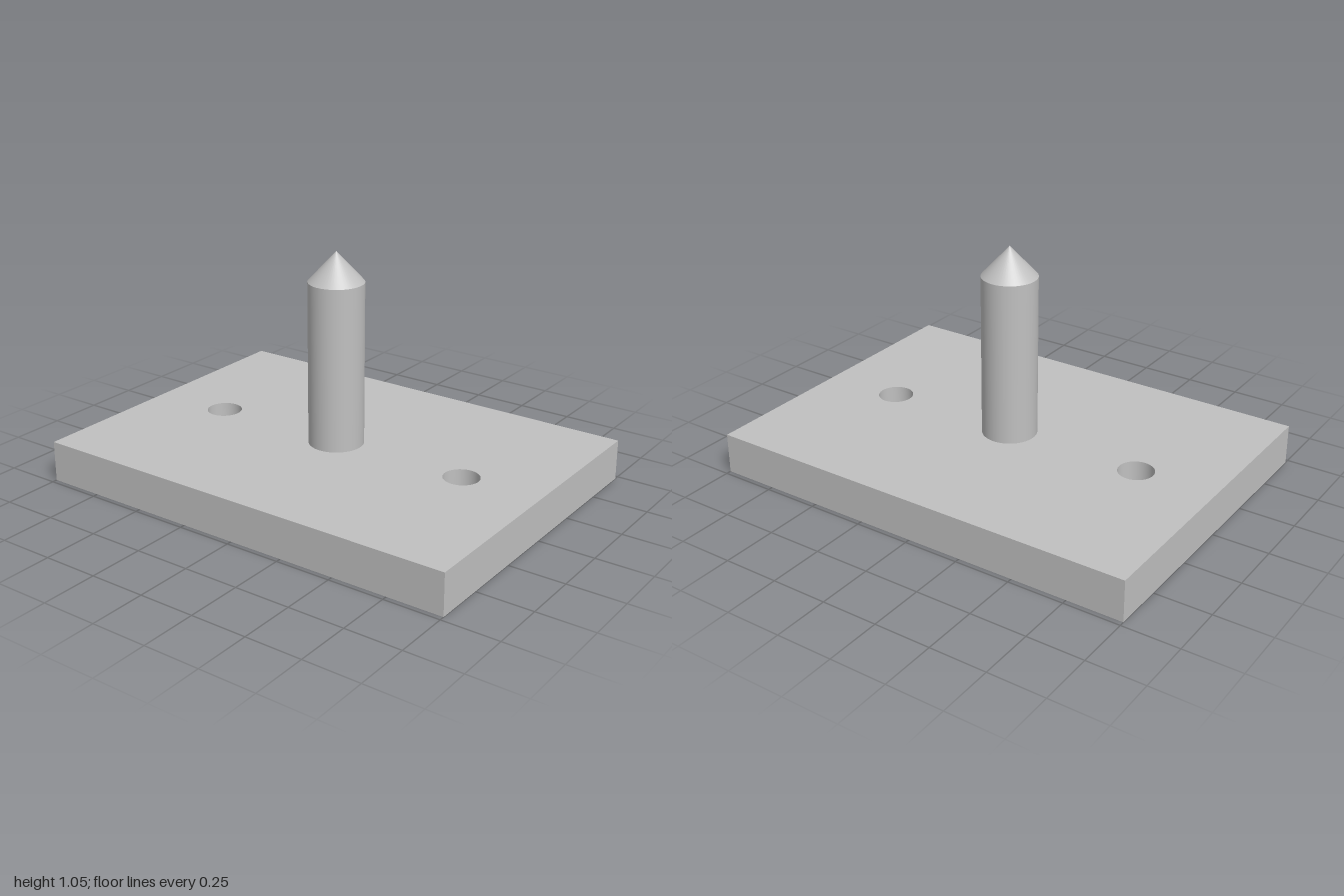
import * as THREE from 'three';
import { toCreasedNormals } from 'three/addons/utils/BufferGeometryUtils.js';

const HALF_WIDTH = 1, HALF_DEPTH = 0.727, THICKNESS = 0.183;
const HOLE_X = 0.636, HOLE_RADIUS = 0.079;
const PIN_RADIUS = 0.122, SHOULDER_Y = 0.913, TIP_Y = 1.046;

export function createModel() {
  const model = new THREE.Group();
  model.name = 'locatingPinPlate';

  const grey = new THREE.MeshStandardMaterial({ color: 0xc0c0c0 });
  grey.name = 'light grey';

  const add = (name, geometry, y = 0) => {
    const mesh = new THREE.Mesh(geometry, grey);
    mesh.name = name;
    mesh.position.y = y;
    model.add(mesh);
  };

  // Base plate with two through holes
  const outline = new THREE.Shape([
    new THREE.Vector2(-HALF_WIDTH, -HALF_DEPTH),
    new THREE.Vector2(HALF_WIDTH, -HALF_DEPTH),
    new THREE.Vector2(HALF_WIDTH, HALF_DEPTH),
    new THREE.Vector2(-HALF_WIDTH, HALF_DEPTH),
  ]);
  for (const side of [-1, 1]) {
    outline.holes.push(new THREE.Path().absarc(side * HOLE_X, 0, HOLE_RADIUS, 0, Math.PI * 2, true));
  }
  const plate = new THREE.ExtrudeGeometry(outline, { depth: THICKNESS, bevelEnabled: false, curveSegments: 24 });
  plate.rotateX(-Math.PI / 2);
  add('basePlate', toCreasedNormals(plate, 0.6));

  // Upright pin, open-ended where it meets the plate and the tip
  const shaftHeight = SHOULDER_Y - THICKNESS;
  add('pinShaft', new THREE.CylinderGeometry(PIN_RADIUS, PIN_RADIUS, shaftHeight, 48, 1, true), THICKNESS + shaftHeight / 2);

  // Pointed tip
  const tipHeight = TIP_Y - SHOULDER_Y;
  add('pinTip', new THREE.ConeGeometry(PIN_RADIUS, tipHeight, 48, 1, true), SHOULDER_Y + tipHeight / 2);

  return model;
}
